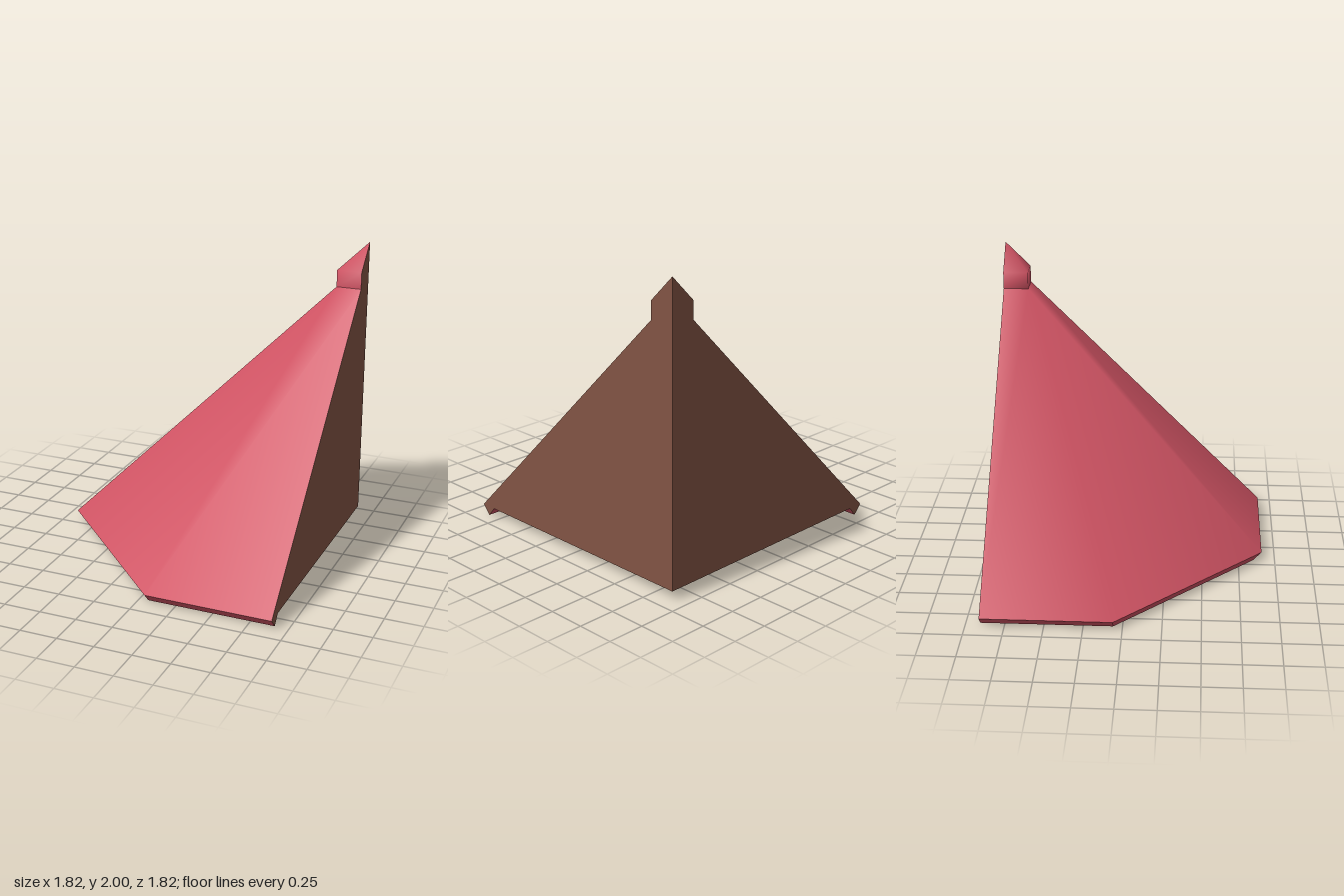
import * as THREE from 'three';
import { mergeVertices } from 'three/addons/utils/BufferGeometryUtils.js';

const R = 0.908, EAVE = 0.063, K = 0.738; // half width, eave height, cap corner

// Skin stacked rows of points, each running left to right as seen from outside.
function skin(rows, smooth) {
  const n = rows[0].length, index = [];
  for (let r = 0; r < rows.length - 1; r++) {
    for (let i = 0; i < n - 1; i++) {
      const p = r * n + i, q = p + n;
      index.push(p, p + 1, q + 1, p, q + 1, q);
    }
  }
  let g = new THREE.BufferGeometry();
  g.setAttribute('position', new THREE.Float32BufferAttribute(rows.flat(2), 3));
  g.setIndex(index);
  g = smooth ? mergeVertices(g) : g.toNonIndexed();
  g.computeVertexNormals();
  return g;
}

// Eave outline at height y, drawn in by t: back left, two chamfer corners, front right.
const eaveRow = (t, y) => [
  [-R + t, y, -R], [-R + t, y, -0.06], [0.06, y, R - t], [R, y, R - t],
];
// Three corners of the square cap at height y.
const capRow = (y) => [[K, y, -R], [K, y, -K], [R, y, -K]];

const flatShape = (points) =>
  new THREE.ShapeGeometry(new THREE.Shape(points.map(([x, y]) => new THREE.Vector2(x, y))));

export function createModel() {
  const red = new THREE.MeshStandardMaterial({ color: 0xcf5363 });
  red.name = 'roof red';
  const brown = new THREE.MeshStandardMaterial({ color: 0x825444 });
  brown.name = 'wood brown';

  const model = new THREE.Group();
  model.name = 'cornerRoof';
  const add = (name, geometry, material) => {
    const mesh = new THREE.Mesh(geometry, material);
    mesh.name = name;
    model.add(mesh);
    return mesh;
  };

  // Main slopes, rising from the chamfered eave to the small square cap
  const [a, b, c] = capRow(1.715);
  add('roofSlopes', skin([eaveRow(0, EAVE), [a, b, b, c]], true), red);

  // Cap: short upright sides and a pointed top
  const apex = [R, 2, -R];
  add('roofCap', skin([capRow(1.715), capRow(1.83), [apex, apex, apex]], true), red);

  // V-shaped lip hanging under the eave: inner and outer faces
  add('eaveLip', skin([eaveRow(0.112, EAVE), eaveRow(0.058, 0), eaveRow(0, EAVE)], false), red);

  // Two upright walls meeting at the back corner, including the lip ends
  const wall = [
    [-R, EAVE], [-R + 0.058, 0], [-R + 0.112, EAVE], [R, EAVE],
    [R, 2], [K, 1.83], [K, 1.715],
  ];
  const side = add('sideWall', flatShape(wall), brown);
  side.rotation.y = Math.PI / 2;
  side.position.x = R;
  const back = add('backWall', flatShape(wall.map(([x, y]) => [-x, y])), brown);
  back.rotation.y = Math.PI;
  back.position.z = -R;

  // Underside, facing down inside the lip
  const floor = [...eaveRow(0.112, 0).map(([x, , z]) => [x, z]), [R, -R]];
  const under = add('underside', flatShape(floor), brown);
  under.rotation.x = Math.PI / 2;
  under.position.y = EAVE;

  return model;
}
